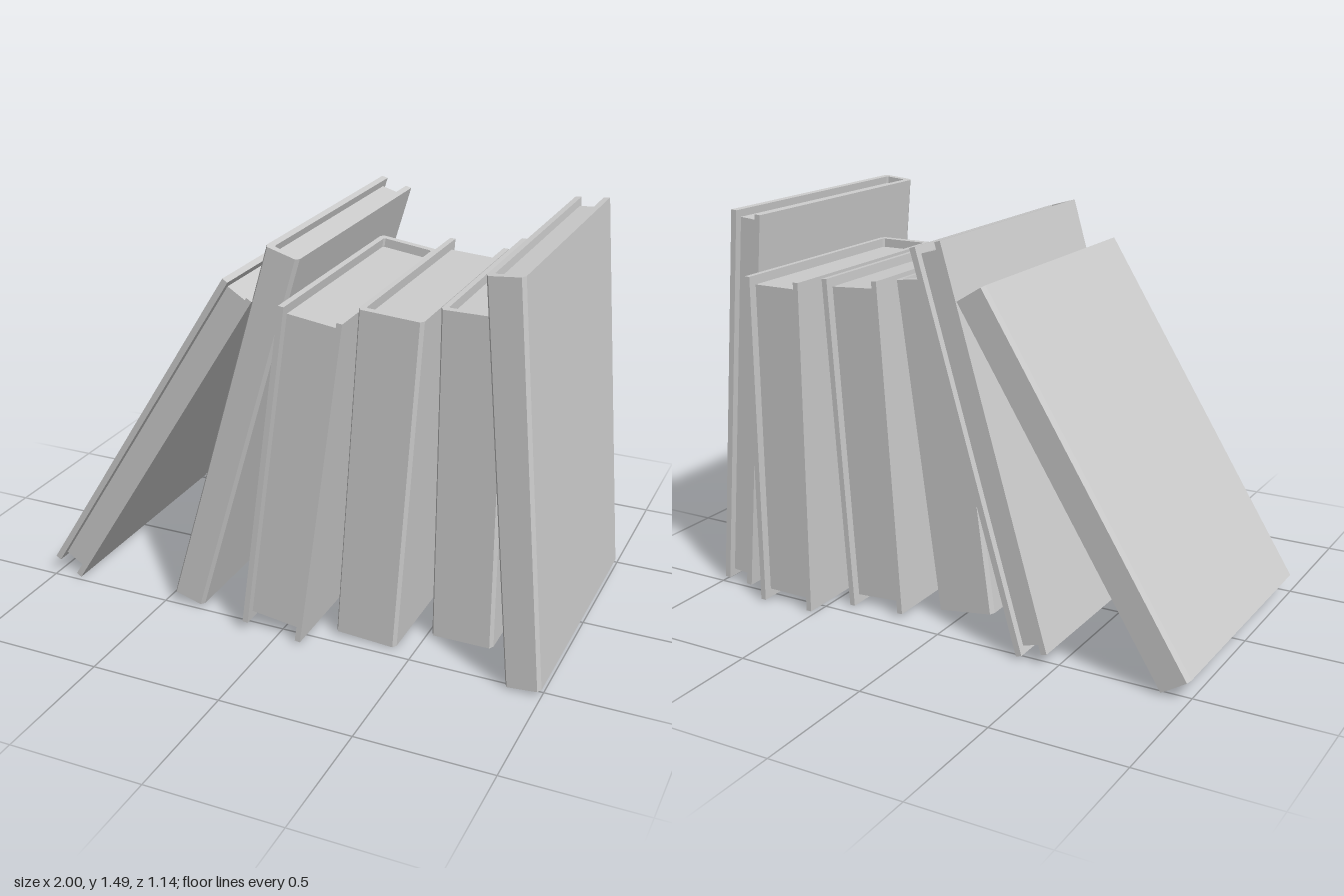
import * as THREE from 'three';

// U-shaped cover outline with bevelled spine corners, extruded over the height
function coverGeometry(T, H, D, board, spine) {
  const x = T / 2, z = D / 2, bx = 0.01, bz = 0.018;
  const xi = x - board, zi = z - spine;
  const shape = new THREE.Shape([
    [-x, z], [-x, -z + bz], [-x + bx, -z], [x - bx, -z], [x, -z + bz], [x, z],
    [xi, z], [xi, -zi + 0.008], [xi - 0.006, -zi],
    [-xi + 0.006, -zi], [-xi, -zi + 0.008], [-xi, z],
  ].map(([a, b]) => new THREE.Vector2(a, b)));
  const g = new THREE.ExtrudeGeometry(shape, { depth: H, bevelEnabled: false });
  g.rotateX(-Math.PI / 2);
  g.translate(0, -H / 2, 0);
  return g;
}

// One book: spine on +z, or on -z when spineBack is set
function makeBook({ name, T, H, D, board, recess, pos, lean, spineBack }) {
  const material = new THREE.MeshStandardMaterial({ color: 0xcccccc, flatShading: true });
  const book = new THREE.Group();
  book.name = name;
  const spine = 0.028;

  const cover = new THREE.Mesh(coverGeometry(T, H, D, board, spine), material);
  cover.name = 'cover';

  const pages = new THREE.Mesh(
    new THREE.BoxGeometry(T - 2 * board, H - 2 * recess, D - spine - recess), material);
  pages.name = 'pages';
  pages.position.z = (recess - spine) / 2;

  book.add(cover, pages);
  book.position.set(...pos);
  // turn the spine first, then lean sideways
  book.rotation.set(0, spineBack ? Math.PI : 0, THREE.MathUtils.degToRad(lean), 'ZYX');
  return book;
}

export function createModel() {
  const model = new THREE.Group();
  model.name = 'leaningBooks';

  const tall = { T: 0.13, H: 1.48, D: 1.02, board: 0.023, recess: 0.028 };
  const thick = { T: 0.236, H: 1.265, D: 0.895, board: 0.021, recess: 0.034 };

  // From the model's right to its left
  const books = [
    { ...tall, pos: [-0.553, 0.672, -0.022], lean: -32, spineBack: true },
    { ...tall, T: 0.127, pos: [-0.198, 0.743, -0.022], lean: -16.3 },
    { ...thick, pos: [0.068, 0.655, 0.12], lean: -7.6, spineBack: true },
    { ...thick, pos: [0.348, 0.644, 0.003], lean: -3.6 },
    { ...thick, pos: [0.633, 0.643, -0.127], lean: 0 },
    { ...tall, pos: [0.866, 0.754, 0.02], lean: 5 },
  ];
  books.forEach((b, i) => model.add(makeBook({ name: `book${i + 1}`, ...b })));
  return model;
}
